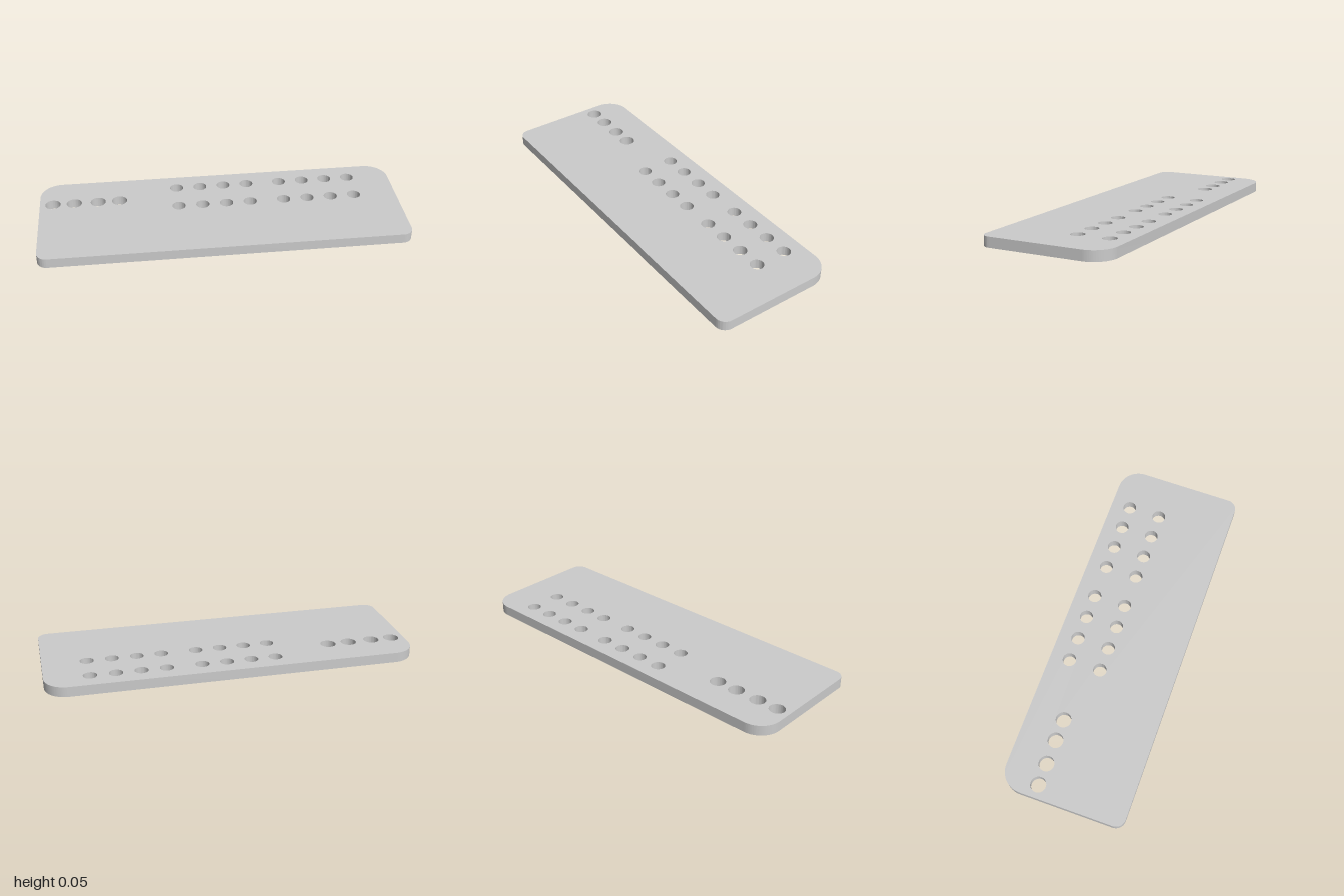
import * as THREE from 'three';
import { toCreasedNormals } from 'three/addons/utils/BufferGeometryUtils.js';

const HALF_W = 1, HALF_D = 0.345, THICK = 0.055;
const BACK_R = 0.12, FRONT_R = 0.055;

// Plate outline, drawn with the back edge at +y
function plateOutline() {
  const s = new THREE.Shape();
  const w = HALF_W, d = HALF_D, q = Math.PI / 2;
  s.moveTo(-w + FRONT_R, -d);
  s.absarc(w - FRONT_R, -d + FRONT_R, FRONT_R, -q, 0);
  s.absarc(w - BACK_R, d - BACK_R, BACK_R, 0, q);
  s.absarc(-w + BACK_R, d - BACK_R, BACK_R, q, 2 * q);
  s.absarc(-w + FRONT_R, -d + FRONT_R, FRONT_R, 2 * q, 3 * q);
  s.closePath();
  return s;
}

export function createModel() {
  const group = new THREE.Group();
  group.name = 'drilledPlate';

  const outline = plateOutline();
  const drill = (x, z, r) => {
    const hole = new THREE.Path();
    hole.absarc(x, -z, r, 0, Math.PI * 2, true);
    outline.holes.push(hole);
  };

  // Single row of larger holes
  for (const x of [-0.928, -0.81, -0.677, -0.558]) drill(x, -0.147, 0.042);

  // Two blocks of 4 x 2 smaller holes
  for (const start of [-0.23, 0.361]) {
    for (let i = 0; i < 4; i++) {
      for (const z of [-0.238, -0.06]) drill(start + i * 0.1337, z, 0.037);
    }
  }

  // Extrude upwards and lay flat
  const geometry = new THREE.ExtrudeGeometry(outline, {
    depth: THICK, bevelEnabled: false, curveSegments: 24,
  });
  geometry.rotateX(-Math.PI / 2);

  const plate = new THREE.Mesh(
    toCreasedNormals(geometry, Math.PI / 5),
    new THREE.MeshStandardMaterial({ color: 0xcccccc }),
  );
  plate.name = 'plate';
  group.add(plate);
  return group;
}
